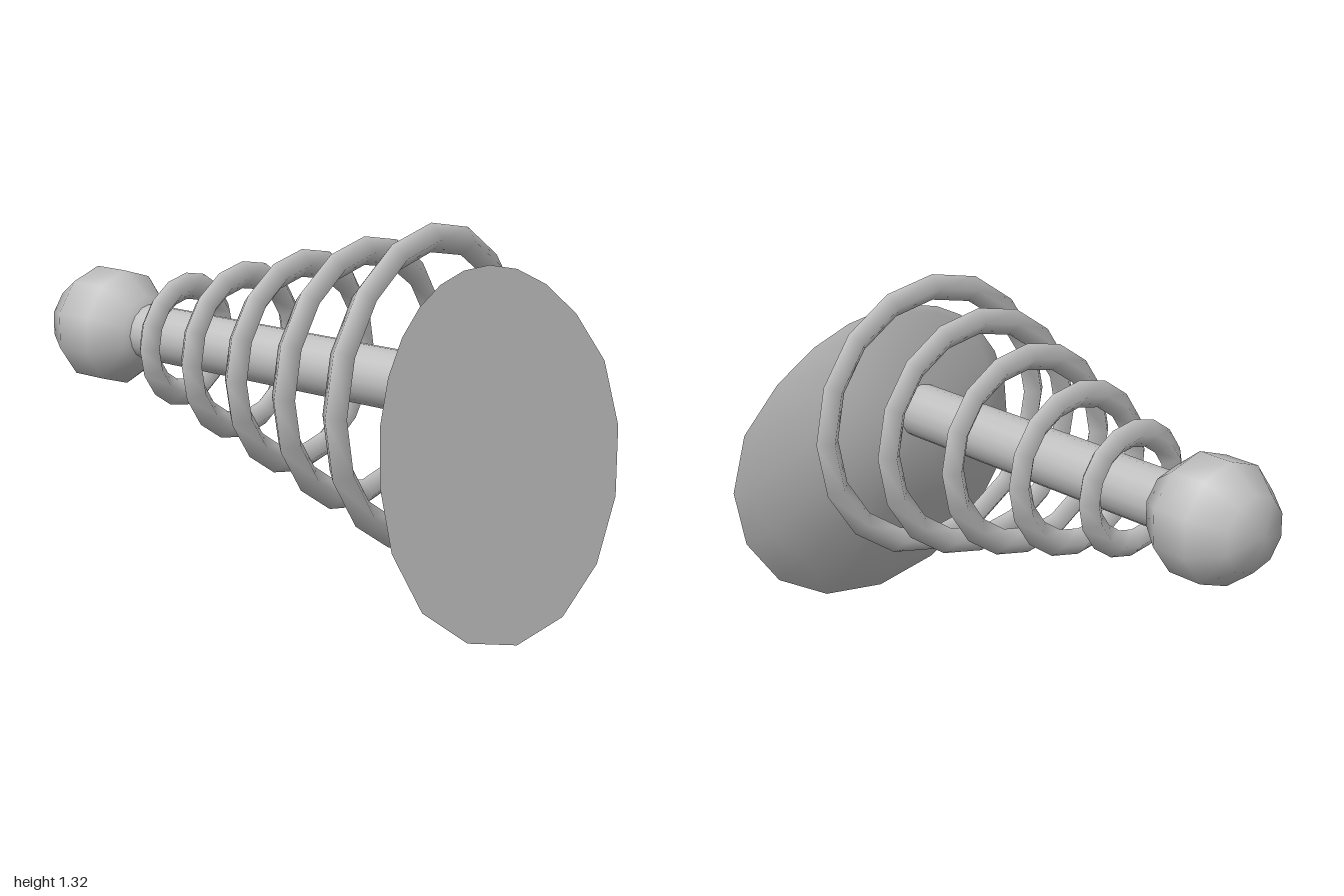
import * as THREE from 'three';

const AXIS_X = -0.083, AXIS_Y = 0.795;
const grey = new THREE.MeshStandardMaterial({ color: 0xc0c0c0 });
grey.name = 'plain grey';

// Back profile of the dish as [radius, z], and the tilted plane that cuts its front
const PROFILE = [[0, 0.695], [0.365, 0.75], [0.69, 0.905], [0.95, 1.147]];
const PLANE = { z: 0.842, dx: 0.075, dy: -0.2 };
const SIDES = 20;

// Radius at which the profile meets the cutting plane along one direction
function rimRadius(angle) {
  const q = PLANE.dx * Math.sin(angle) + PLANE.dy * Math.cos(angle);
  for (let i = 1; i < 3; i++) {
    const [r0, z0] = PROFILE[i], [r1, z1] = PROFILE[i + 1];
    const s = (z1 - z0) / (r1 - r0);
    const r = (PLANE.z - z0 + s * r0) / (s - q);
    if (r <= r1 || i === 2) return r;
  }
}

function profileZ(r) {
  let i = 0;
  while (i < 2 && r > PROFILE[i + 1][0]) i++;
  const [r0, z0] = PROFILE[i], [r1, z1] = PROFILE[i + 1];
  return z0 + (z1 - z0) * (r - r0) / (r1 - r0);
}

function toGeometry(points, index) {
  const g = new THREE.BufferGeometry();
  g.setAttribute('position', new THREE.Float32BufferAttribute(points, 3));
  g.setIndex(index);
  g.computeVertexNormals();
  return g;
}

// Domed back: pole, two rows, then the slanted rim
function dishBack() {
  const points = [0, 0, PROFILE[0][1]], index = [];
  for (let k = 0; k < SIDES; k++) {
    const t = k / SIDES * Math.PI * 2, rim = rimRadius(t);
    for (const r of [PROFILE[1][0], Math.min(PROFILE[2][0], rim), rim]) {
      points.push(r * Math.sin(t), r * Math.cos(t), profileZ(r));
    }
    const a = 1 + k * 3, b = 1 + ((k + 1) % SIDES) * 3;
    index.push(0, a, b);
    for (let j = 0; j < 2; j++) {
      index.push(a + j, a + j + 1, b + j + 1, a + j, b + j + 1, b + j);
    }
  }
  return toGeometry(points, index);
}

// Flat slanted front
function dishFront() {
  const points = [0, 0, PLANE.z], index = [];
  for (let k = 0; k < SIDES; k++) {
    const t = k / SIDES * Math.PI * 2, r = rimRadius(t);
    points.push(r * Math.sin(t), r * Math.cos(t), profileZ(r));
    index.push(0, 1 + (k + 1) % SIDES, 1 + k);
  }
  return toGeometry(points, index);
}

export function createModel() {
  const model = new THREE.Group();
  model.name = 'ringedRod';
  const add = (name, geometry, z = 0) => {
    const mesh = new THREE.Mesh(geometry, grey);
    mesh.name = name;
    mesh.position.set(AXIS_X, AXIS_Y, z);
    model.add(mesh);
  };

  add('dishBack', dishBack());
  add('dishFront', dishFront());

  // Central rod along z
  add('rod', new THREE.CylinderGeometry(0.1, 0.1, 1.33, 16).rotateX(Math.PI / 2), 0.055);

  // End ball with its poles on the rod axis
  add('endBall', new THREE.SphereGeometry(0.22, 10, 5).rotateX(-Math.PI / 2).rotateZ(Math.PI / 2), -0.78);

  // Five rings of diamond section, shrinking towards the ball
  const tube = 0.047;
  for (let i = 0; i < 5; i++) {
    const outer = 0.53 - i * 0.0728;
    add('ring' + (i + 1), new THREE.TorusGeometry(outer - tube, tube, 4, 16), 0.636 - i * 0.2615);
  }
  return model;
}
